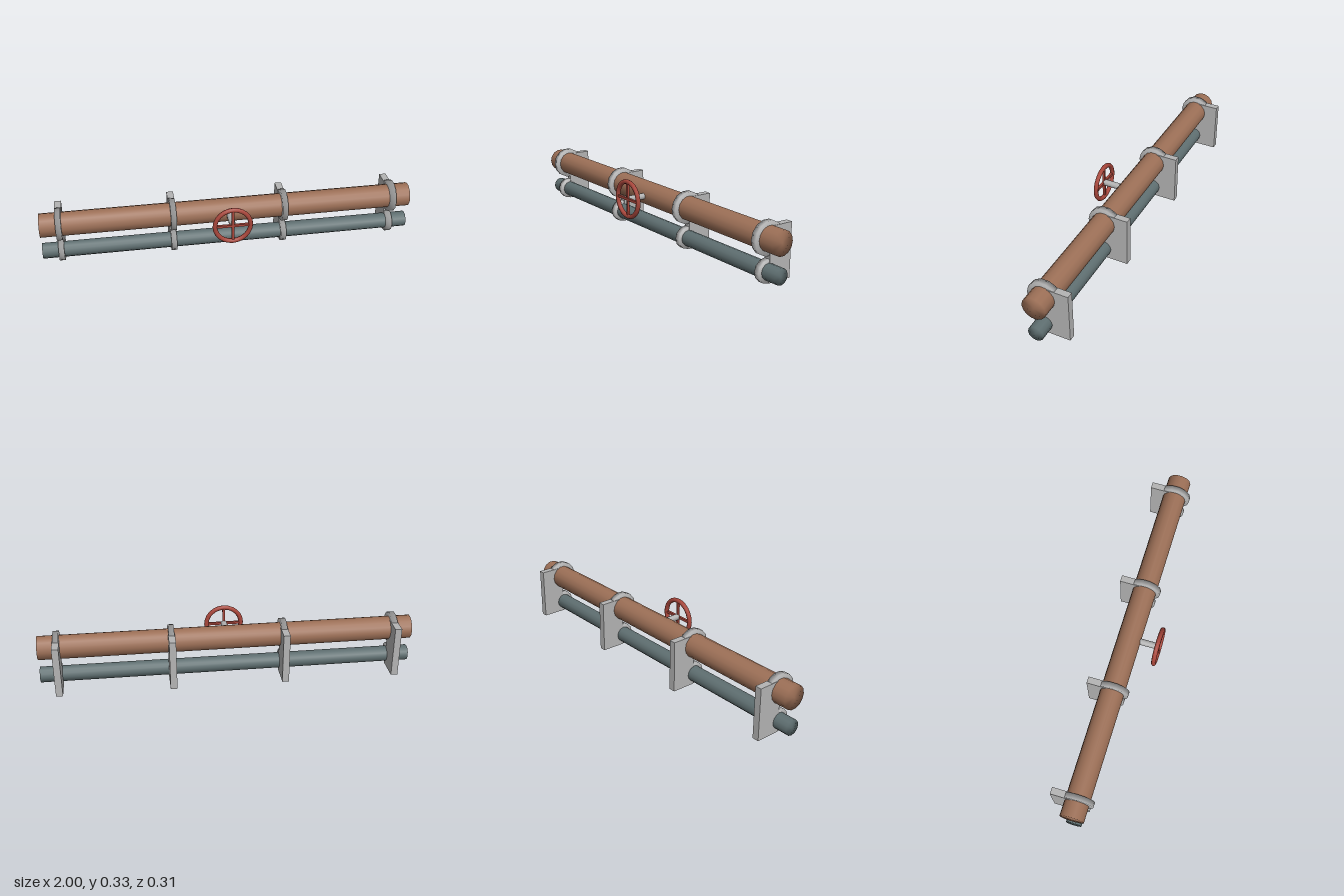
import * as THREE from 'three';
import { mergeVertices } from 'three/addons/utils/BufferGeometryUtils.js';

const PIPE_Z = -0.018, UPPER_Y = 0.222, LOWER_Y = 0.0605;

const mat = (name, color) => {
  const m = new THREE.MeshStandardMaterial({ color });
  m.name = name;
  return m;
};

// Cylinder with normals shared between side and caps, for softly shaded ends
function softCylinder(radius, length, sides) {
  const g = new THREE.CylinderGeometry(radius, radius, length, sides);
  g.deleteAttribute('normal');
  g.deleteAttribute('uv');
  const merged = mergeVertices(g, 1e-4);
  merged.computeVertexNormals();
  return merged;
}

export function createModel() {
  const model = new THREE.Group();
  model.name = 'pipeRun';
  const copper = mat('copper brown', 0x9d7057);
  const slate = mat('slate grey', 0x5f6f71);
  const steel = mat('light grey', 0xb4b4b4);
  const red = mat('valve red', 0xa8463b);

  const add = (parent, name, geometry, material, x, y, z) => {
    const mesh = new THREE.Mesh(geometry, material);
    mesh.name = name;
    mesh.position.set(x, y, z);
    parent.add(mesh);
    return mesh;
  };
  const alongX = (r, len, sides) => softCylinder(r, len, sides).rotateZ(Math.PI / 2);

  // Two parallel pipes
  add(model, 'upperPipe', alongX(0.064, 2, 14), copper, 0, UPPER_Y, PIPE_Z);
  add(model, 'lowerPipe', alongX(0.042, 2, 12), slate, 0, LOWER_Y, PIPE_Z);

  // Wall brackets, each with a collar round both pipes
  const upperCollar = alongX(0.0865, 0.03, 14);
  const lowerCollar = alongX(0.06, 0.03, 12);
  const plate = new THREE.BoxGeometry(0.036, 0.279, 0.131);
  for (const x of [-0.9, -0.3, 0.3, 0.9]) {
    const bracket = new THREE.Group();
    bracket.name = 'bracket';
    bracket.position.x = x;
    add(bracket, 'upperCollar', upperCollar, steel, 0, UPPER_Y, PIPE_Z);
    add(bracket, 'lowerCollar', lowerCollar, steel, 0, LOWER_Y, PIPE_Z);
    add(bracket, 'wallPlate', plate, steel, 0, 0.1405, -0.0885);
    model.add(bracket);
  }

  // Valve: stem, rim and crossed spokes
  const valve = new THREE.Group();
  valve.name = 'valve';
  valve.position.set(0, UPPER_Y, 0.143);
  const stem = new THREE.CylinderGeometry(0.017, 0.017, 0.14, 10).rotateX(Math.PI / 2);
  add(valve, 'stem', stem, steel, 0, 0, -0.072);
  add(valve, 'wheelRim', new THREE.TorusGeometry(0.095, 0.0125, 8, 24), red, 0, 0, 0);
  const spoke = new THREE.BoxGeometry(0.19, 0.013, 0.013);
  add(valve, 'spoke', spoke, red, 0, 0, 0);
  add(valve, 'spoke', spoke, red, 0, 0, 0).rotation.z = Math.PI / 2;
  model.add(valve);

  return model;
}
